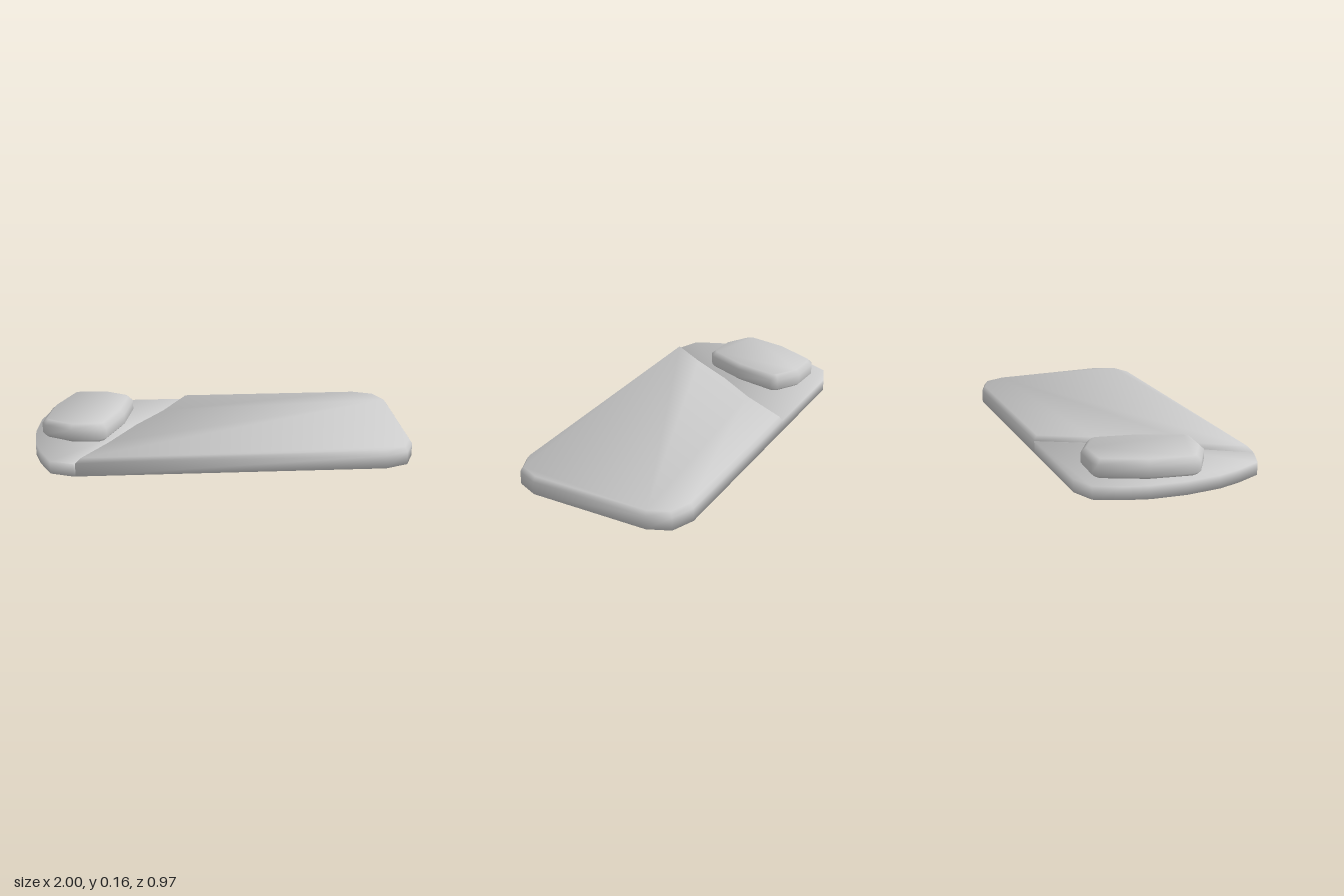
import * as THREE from 'three';

const material = new THREE.MeshStandardMaterial({ color: 0xcccccc });

// Mitred outward direction at every corner of an [x, z] outline
function outwardDirections(outline) {
  const n = outline.length;
  const edgeNormal = (a, b) => new THREE.Vector2(b[1] - a[1], a[0] - b[0]).normalize();
  return outline.map((p, i) => {
    const before = edgeNormal(outline[(i + n - 1) % n], p);
    const after = edgeNormal(p, outline[(i + 1) % n]);
    const sum = before.clone().add(after).normalize();
    return { dir: sum, miter: 1 / Math.max(0.5, sum.dot(after)) };
  });
}

// Stack inset copies of an outline; each ring is { y, inset, tilt },
// where tilt is the upward share of its soft normals
function softSlab(name, outline, rings) {
  const n = outline.length;
  const out = outwardDirections(outline);
  const positions = [], normals = [], index = [];
  for (const { y, inset, tilt } of rings) {
    const side = Math.sqrt(1 - tilt * tilt);
    outline.forEach(([x, z], i) => {
      const { dir, miter } = out[i];
      positions.push(x - dir.x * inset * miter, y, z - dir.y * inset * miter);
      normals.push(dir.x * side, tilt, dir.y * side);
    });
  }
  for (let r = 0; r < rings.length - 1; r++) {
    for (let i = 0; i < n; i++) {
      const a = r * n + i, b = r * n + (i + 1) % n;
      index.push(a, a + n, b, b, a + n, b + n);
    }
  }
  // Bottom and top caps
  const top = (rings.length - 1) * n;
  const points = outline.map(([x, z]) => new THREE.Vector2(x, z));
  for (const [a, b, c] of THREE.ShapeUtils.triangulateShape(points, [])) {
    index.push(a, b, c, top + a, top + c, top + b);
  }
  const geometry = new THREE.BufferGeometry();
  geometry.setAttribute('position', new THREE.Float32BufferAttribute(positions, 3));
  geometry.setAttribute('normal', new THREE.Float32BufferAttribute(normals, 3));
  geometry.setIndex(index);
  const mesh = new THREE.Mesh(geometry, material);
  mesh.name = name;
  return mesh;
}

export function createModel() {
  const group = new THREE.Group();
  group.name = 'slab';

  // Line of the step between the thick body and the thin end, back to front
  const step = [[-0.18, -0.483], [-0.32, -0.22], [-0.47, 0.0], [-0.61, 0.25], [-0.76, 0.483]];

  // Thick body with a bevelled upper rim
  const body = [
    [0.83, -0.483], [0.95, -0.435], [1, -0.32],
    [1, 0.32], [0.95, 0.435], [0.83, 0.483],
    ...[...step].reverse(),
  ];
  group.add(softSlab('body', body, [
    { y: 0, inset: 0, tilt: -0.6 },
    { y: 0.07, inset: 0, tilt: 0.35 },
    { y: 0.094, inset: 0.017, tilt: 0.85 },
  ]));

  // Thin lowered end
  const lowerEnd = [
    ...step,
    [-0.77, 0.483], [-0.89, 0.435], [-0.95, 0.3], [-0.985, 0.18], [-1, 0],
    [-0.985, -0.18], [-0.95, -0.3], [-0.89, -0.435], [-0.77, -0.483],
  ];
  group.add(softSlab('lowerEnd', lowerEnd, [
    { y: 0, inset: 0, tilt: -0.6 },
    { y: 0.067, inset: 0, tilt: 0.8 },
  ]));

  // Raised pad resting on the lowered end
  const pad = [
    [-0.82, -0.38], [-0.78, -0.398], [-0.62, -0.39], [-0.49, -0.31],
    [-0.475, -0.27], [-0.52, -0.04], [-0.61, 0.17], [-0.65, 0.198],
    [-0.8, 0.185], [-0.94, 0.1], [-0.957, 0.06], [-0.92, -0.16],
  ];
  group.add(softSlab('pad', pad, [
    { y: 0.066, inset: 0.02, tilt: -0.8 },
    { y: 0.085, inset: 0, tilt: -0.2 },
    { y: 0.138, inset: 0, tilt: 0.35 },
    { y: 0.163, inset: 0.025, tilt: 0.88 },
  ]));

  return group;
}
